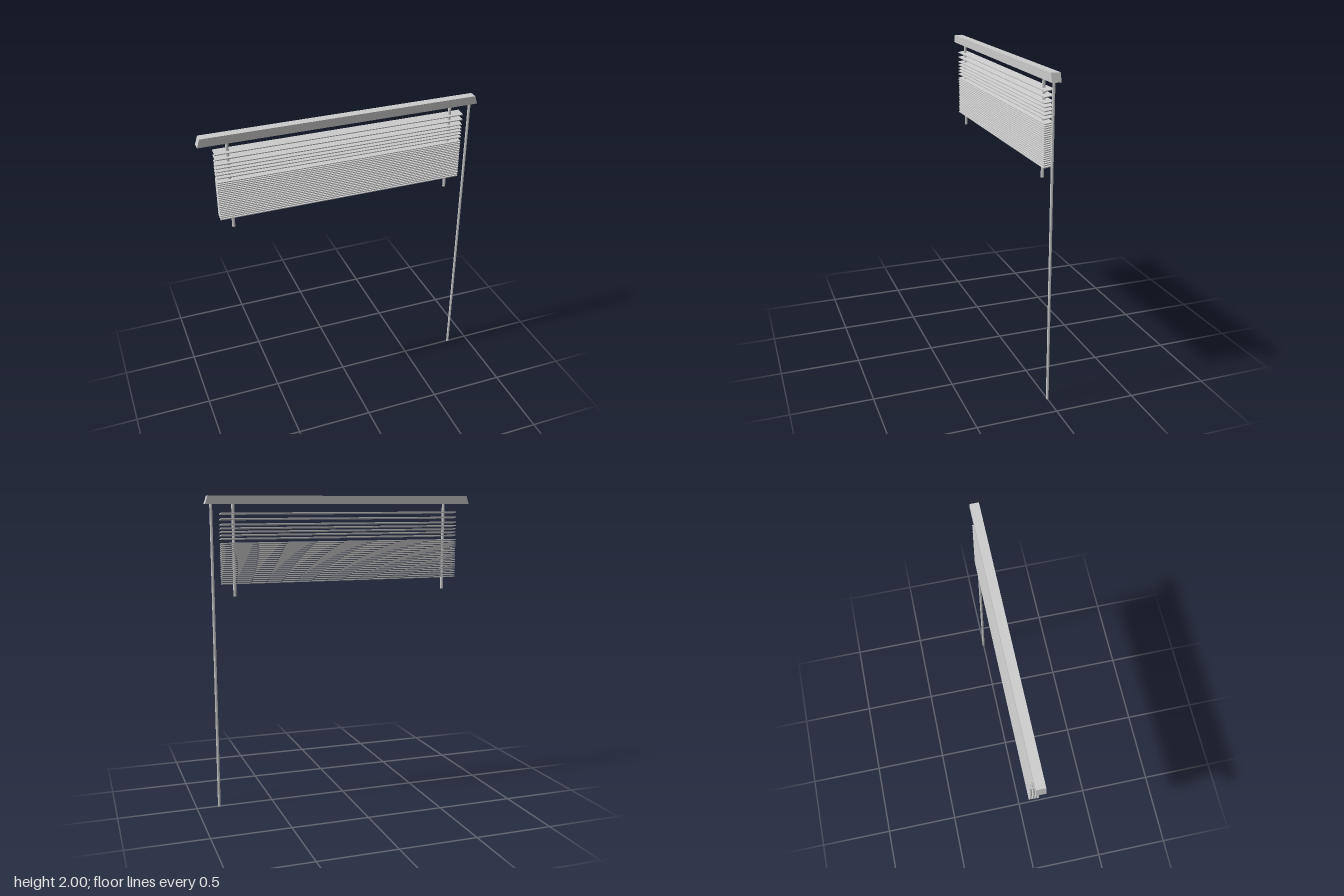
import * as THREE from 'three';

export function createModel() {
  const group = new THREE.Group();
  group.name = 'windowBlind';
  const material = new THREE.MeshStandardMaterial({ color: 0xcccccc, flatShading: true });

  function add(name, geometry, x, y, z = 0) {
    const mesh = new THREE.Mesh(geometry, material);
    mesh.name = name;
    mesh.position.set(x, y, z);
    group.add(mesh);
    return mesh;
  }

  // Head rail with slanted ends
  const profile = new THREE.Shape([
    new THREE.Vector2(-0.895, 1.948), new THREE.Vector2(0.895, 1.948),
    new THREE.Vector2(0.878, 2), new THREE.Vector2(-0.878, 2),
  ]);
  add('headRail', new THREE.ExtrudeGeometry(profile, { depth: 0.056, bevelEnabled: false }), 0, 0, -0.028);

  // Slats: spread out at the top, gathered into a dense stack below
  const heights = [1.89, 1.856, 1.823, 1.8, 1.778, 1.757, 1.735];
  for (let i = 0; i < 21; i++) heights.push(1.706 - i * 0.01245);
  const slat = new THREE.BoxGeometry(1.6, 0.006, 0.06);
  for (const y of heights) add('slat', slat, 0, y, -0.002).rotation.x = 0.15;

  // Lift cords on both sides
  for (const side of [-1, 1]) {
    add('liftCord', new THREE.CylinderGeometry(0.01, 0.01, 0.575, 8), side * 0.718, 1.6625);
  }

  // Long tilt wand
  add('tiltWand', new THREE.CylinderGeometry(0.009, 0.009, 1.95, 8), 0.855, 0.975);

  return group;
}
